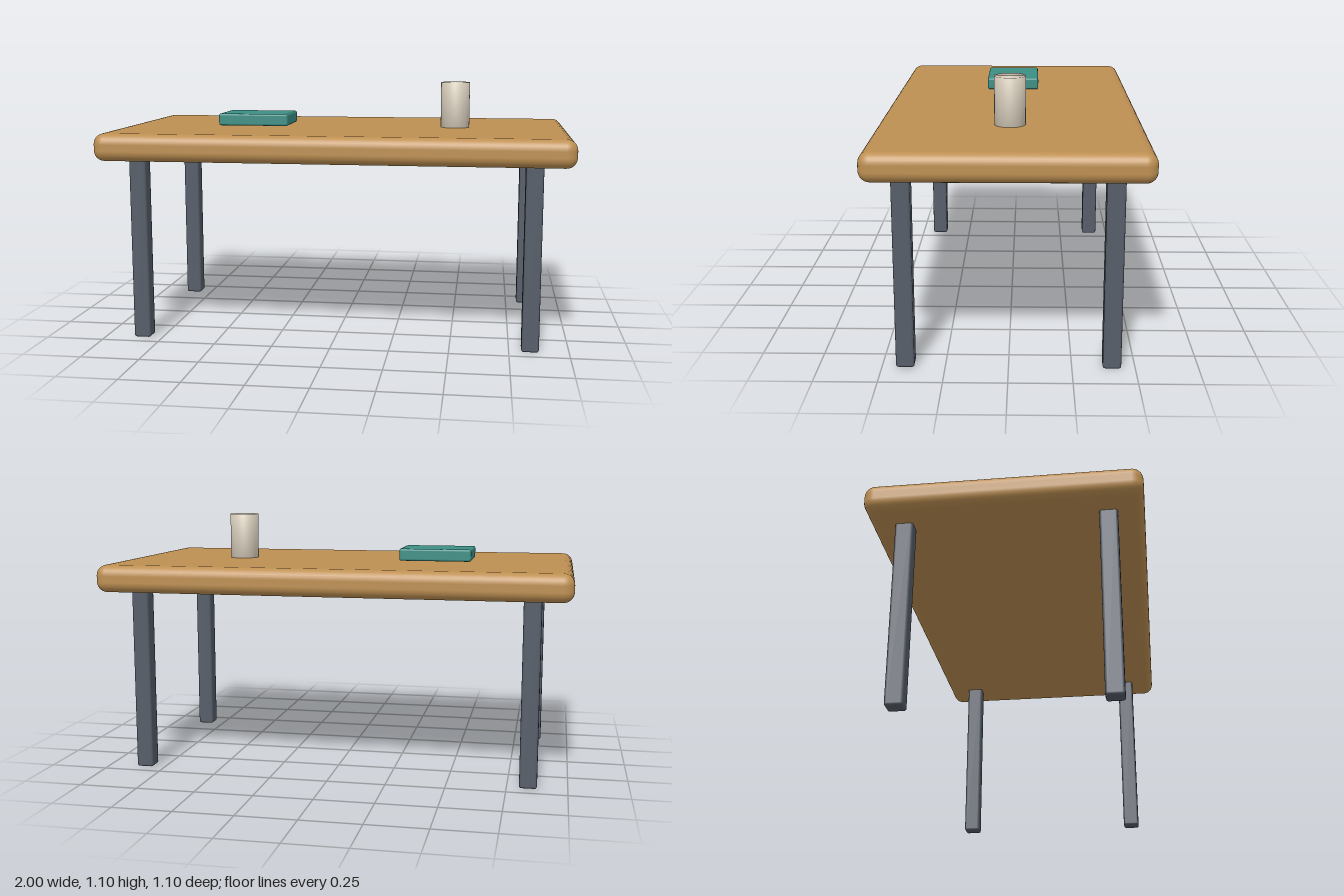
import * as THREE from 'three';
import { RoundedBoxGeometry } from 'three/addons/geometries/RoundedBoxGeometry.js';

const material = (name, color) => {
  const m = new THREE.MeshStandardMaterial({ color });
  m.name = name;
  return m;
};

export function createModel() {
  const wood = material('warm wood', 0xbd8f52);
  const metal = material('slate grey', 0x555d68);
  const teal = material('teal cover', 0x3b8e84);
  const ceramic = material('cream ceramic', 0xd9cfbd);

  const table = new THREE.Group();
  table.name = 'table';

  const add = (name, geometry, mat, x, y, z) => {
    const mesh = new THREE.Mesh(geometry, mat);
    mesh.name = name;
    mesh.position.set(x, y, z);
    table.add(mesh);
  };

  // Thick top with soft edges
  add('tableTop', new RoundedBoxGeometry(2, 0.117, 1.1, 4, 0.045), wood, 0, 0.8425, 0);

  // Four square legs, reaching just inside the top
  const leg = new RoundedBoxGeometry(0.073, 0.8, 0.073, 2, 0.01);
  for (const [side, x] of [['Left', 0.838], ['Right', -0.838]]) {
    add('front' + side + 'Leg', leg, metal, x, 0.4, 0.408);
    add('back' + side + 'Leg', leg, metal, x, 0.4, -0.408);
  }

  // Closed book
  add('book', new RoundedBoxGeometry(0.316, 0.053, 0.24, 2, 0.009), teal, -0.403, 0.932, 0);

  // Closed cup, smoothly shaded over its rims
  const profile = [[0, 0], [0.064, 0], [0.064, 0.2], [0, 0.2]];
  const cup = new THREE.LatheGeometry(profile.map(([r, y]) => new THREE.Vector2(r, y)), 32);
  add('cup', cup, ceramic, 0.497, 0.901, 0);

  return table;
}
